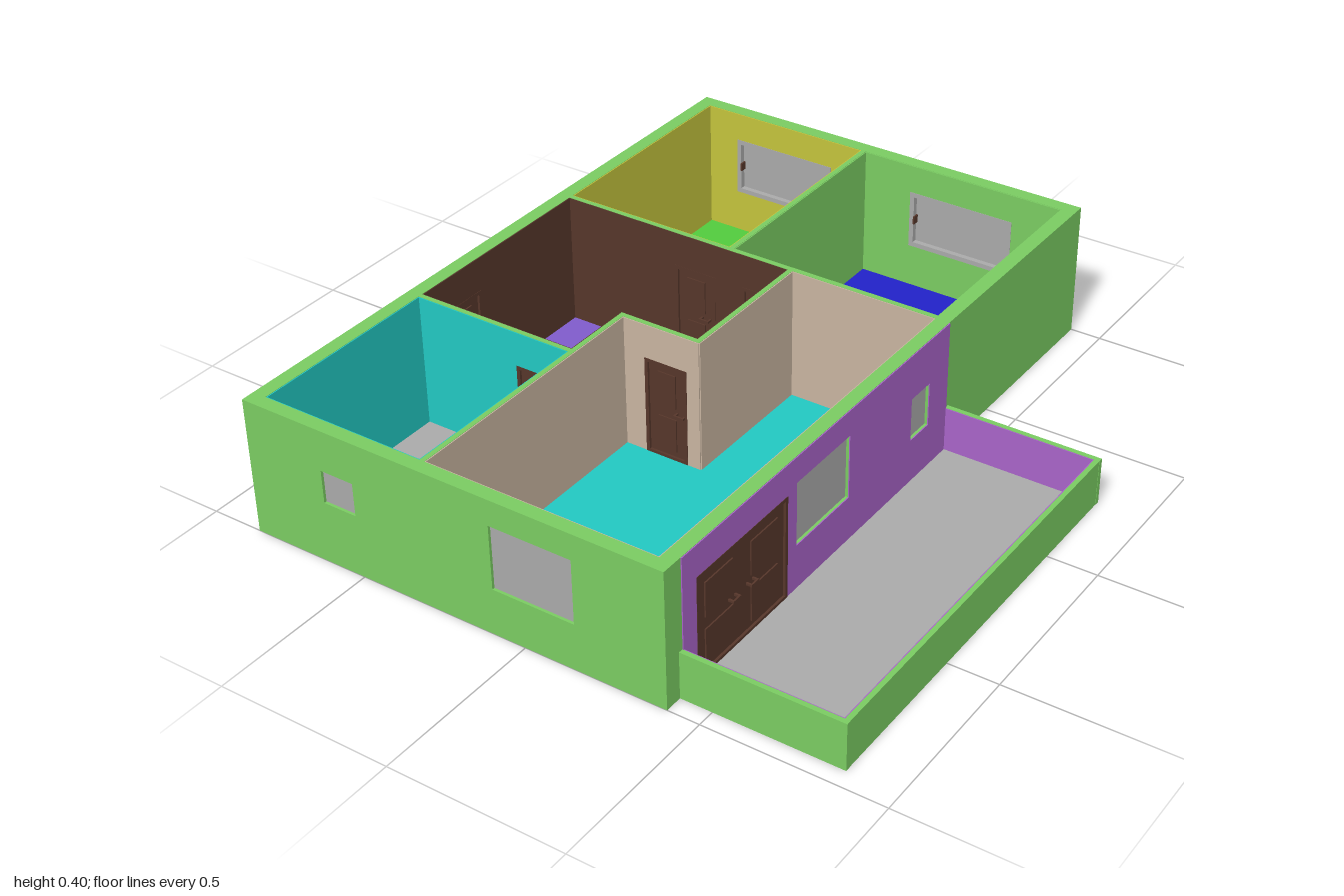
import * as THREE from 'three';

const mat = (name, color) => Object.assign(new THREE.MeshStandardMaterial({ color }), { name });
const M = {
  green: mat('wall green', 0x7acc62),
  lawn: mat('floor green', 0x52cc3e),
  blue: mat('floor blue', 0x2222c8),
  violet: mat('floor violet', 0x805ccc),
  purple: mat('terrace purple', 0xa864c8),
  turquoise: mat('turquoise', 0x22c8c2),
  grey: mat('grey', 0xaaaaaa),
  olive: mat('olive', 0xc4c43c),
  beige: mat('beige', 0xc8b4a0),
  brown: mat('door brown', 0x56362a),
};

const H = 0.395, RAIL = 0.135, OUT = 0.04, IN = 0.014;

// Walls: name, axis they run along, position across it, thickness, start, end, height
const WALLS = [
  ['frontWall', 'x', 0.98, OUT, -0.85, 0.41, H],
  ['backWall', 'x', -0.98, OUT, -0.85, 0.41, H],
  ['outerWallRight', 'z', -0.83, OUT, -0.96, 0.96, H],
  ['outerWallLeft', 'z', 0.39, OUT, -0.96, 0.96, H],
  ['crossWall', 'x', -0.272, IN, -0.81, 0.37, H],
  ['bedroomWall', 'z', -0.272, IN, -0.96, -0.279, H],
  ['hallSideWall', 'z', -0.076, IN, -0.265, 0.17, H],
  ['hallFrontWall', 'x', 0.163, IN, -0.321, -0.083, H],
  ['bathSideWall', 'z', -0.314, IN, 0.17, 0.96, H],
  ['bathBackWall', 'x', 0.377, IN, -0.81, -0.321, H],
  ['terraceRailBack', 'x', -0.272, IN, 0.41, 0.86, RAIL],
  ['terraceRailSide', 'z', 0.852, IN, -0.265, 0.935, RAIL],
  ['terraceRailFront', 'x', 0.942, IN, 0.41, 0.86, RAIL],
];

// Openings: in = direction of the room side, leaves = handle position of each door leaf
const win = (axis, pos, a, b, y0, y1, inward) => ({ name: 'window', axis, pos, t: OUT, a, b, y0, y1, inward });
const door = (axis, pos, t, a, b, leaves, y1 = 0.295) => ({ name: 'door', axis, pos, t, a, b, y0: 0.004, y1, leaves });
const OPENINGS = [
  win('x', 0.98, -0.61, -0.51, 0.18, 0.275, -1),
  win('x', 0.98, -0.09, 0.15, 0.135, 0.32, -1),
  win('x', -0.98, -0.71, -0.38, 0.135, 0.31, 1),
  win('x', -0.98, -0.11, 0.22, 0.135, 0.31, 1),
  win('z', 0.39, 0.22, 0.46, 0.135, 0.32, 1),
  win('z', 0.39, -0.17, -0.08, 0.135, 0.262, 1),
  door('z', -0.83, OUT, 0.14, 0.285, [0.25]),
  door('z', 0.39, OUT, 0.5, 0.88, [0.655, 0.73], 0.305),
  door('x', -0.272, IN, -0.45, -0.315, [-0.35]),
  door('x', -0.272, IN, -0.23, -0.095, [-0.195]),
  door('x', 0.163, IN, -0.24, -0.108, [-0.13]),
  door('x', 0.377, IN, -0.49, -0.365, [-0.39]),
];

const rect = (x0, z0, x1, z1) => [[x0, z0], [x1, z0], [x1, z1], [x0, z1]];
// Rooms: outline seen from above, floor colour, wall colour
const ROOMS = [
  ['bedroom', rect(-0.81, -0.96, -0.279, -0.279), M.lawn, M.olive],
  ['largeBedroom', rect(-0.265, -0.96, 0.37, -0.279), M.blue, M.green],
  ['hall', [[-0.81, -0.265], [-0.083, -0.265], [-0.083, 0.156], [-0.321, 0.156], [-0.321, 0.37], [-0.81, 0.37]], M.violet, M.brown],
  ['livingRoom', [[-0.069, -0.265], [0.37, -0.265], [0.37, 0.96], [-0.307, 0.96], [-0.307, 0.17], [-0.069, 0.17]], M.turquoise, M.beige],
  ['bathroom', rect(-0.81, 0.384, -0.321, 0.96), M.grey, M.turquoise],
  ['terrace', rect(0.41, -0.265, 0.845, 0.935), M.grey, M.purple],
];

// Puts a part drawn in (along, up, across) onto a wall line
function onLine(obj, axis, pos) {
  if (axis === 'x') obj.position.z = pos;
  else { obj.position.x = pos; obj.rotation.y = -Math.PI / 2; }
  return obj;
}

// Upright slab with every window and door on its line cut out
function slab(name, axis, pos, t, a, b, h, material) {
  const s = new THREE.Shape([[a, 0], [b, 0], [b, h], [a, h]].map(p => new THREE.Vector2(...p)));
  for (const o of OPENINGS) {
    if (o.axis !== axis || Math.abs(o.pos - pos) > 0.05 || o.a < a || o.b > b || o.y1 > h) continue;
    s.holes.push(new THREE.Path([[o.a, o.y0], [o.a, o.y1], [o.b, o.y1], [o.b, o.y0]].map(p => new THREE.Vector2(...p))));
  }
  const g = new THREE.ExtrudeGeometry(s, { depth: t, bevelEnabled: false }).translate(0, 0, -t / 2);
  const mesh = new THREE.Mesh(g, material);
  mesh.name = name;
  return onLine(mesh, axis, pos);
}

function box(group, name, material, a, b, y0, y1, d0, d1) {
  const m = new THREE.Mesh(new THREE.BoxGeometry(b - a, y1 - y0, Math.abs(d1 - d0)), material);
  m.position.set((a + b) / 2, (y0 + y1) / 2, (d0 + d1) / 2);
  m.name = name;
  group.add(m);
}

// Four-sided frame of bars of width w inside a rectangle
function frame(group, name, material, a, b, y0, y1, w, d0, d1) {
  box(group, name, material, a, a + w, y0, y1, d0, d1);
  box(group, name, material, b - w, b, y0, y1, d0, d1);
  box(group, name, material, a + w, b - w, y1 - w, y1, d0, d1);
  box(group, name, material, a + w, b - w, y0, y0 + w, d0, d1);
}

function makeWindow(o) {
  const g = new THREE.Group(), i = o.inward, half = o.t / 2;
  box(g, 'windowPane', M.grey, o.a, o.b, o.y0, o.y1, -i * (half - 0.008), i * (half - 0.012));
  frame(g, 'windowFrame', M.grey, o.a, o.b, o.y0, o.y1, 0.014, i * (half - 0.012), i * (half + 0.004));
  const y = (o.y0 + o.y1) / 2;
  box(g, 'windowLatch', M.brown, o.a + 0.014, o.a + 0.019, y - 0.012, y + 0.012, i * (half - 0.012), i * (half + 0.008));
  return g;
}

function makeDoor(o) {
  const g = new THREE.Group(), half = o.t / 2, n = o.leaves.length, w = (o.b - o.a) / n;
  frame(g, 'doorFrame', M.brown, o.a, o.b, o.y0, o.y1, 0.01, -half - 0.004, half + 0.004);
  o.leaves.forEach((hx, k) => {
    const a = o.a + k * w + 0.008, b = o.a + (k + 1) * w - 0.008, d = half - 0.003;
    box(g, 'doorLeaf', M.brown, a - 0.008, b + 0.008, o.y0 + 0.004, o.y1 - 0.004, -d, d);
    for (const s of [-1, 1]) {
      // raised panels
      for (const [y0, y1] of [[0.03, 0.13], [0.165, 0.265]])
        box(g, 'doorPanel', M.brown, a + 0.03, b - 0.03, y0, y1, s * d, s * (d + 0.004));
      // lever handle on two posts
      box(g, 'doorHandle', M.brown, hx - 0.016, hx + 0.016, 0.148, 0.154, s * (half + 0.009), s * (half + 0.014));
      for (const e of [-0.013, 0.013])
        box(g, 'handlePost', M.brown, hx + e - 0.003, hx + e + 0.003, 0.148, 0.154, s * d, s * (half + 0.009));
    }
  });
  return g;
}

export function createModel() {
  const model = new THREE.Group();
  model.name = 'house';

  for (const [name, axis, pos, t, a, b, h] of WALLS) model.add(slab(name, axis, pos, t, a, b, h, M.green));

  for (const [name, pts, floorMat, wallMat] of ROOMS) {
    const room = new THREE.Group();
    room.name = name;
    // floor plate
    const shape = new THREE.Shape(pts.map(p => new THREE.Vector2(...p)));
    const geo = new THREE.ExtrudeGeometry(shape, { depth: 0.006, bevelEnabled: false });
    const floor = new THREE.Mesh(geo.rotateX(Math.PI / 2).translate(0, 0.006, 0), floorMat);
    floor.name = name + 'Floor';
    room.add(floor);
    // painted lining along every side, shifted into the room
    pts.forEach((p, k) => {
      const q = pts[(k + 1) % pts.length];
      const alongX = p[1] === q[1], u = alongX ? 0 : 1;
      const dir = Math.sign(q[u] - p[u]);
      const pos = alongX ? p[1] + dir * 0.0015 : p[0] - dir * 0.0015;
      const low = name === 'terrace' && !(p[0] === 0.41 && q[0] === 0.41);
      room.add(slab(name + 'Lining', alongX ? 'x' : 'z', pos, 0.003,
        Math.min(p[u], q[u]), Math.max(p[u], q[u]), (low ? RAIL : H) - 0.001, wallMat));
    });
    model.add(room);
  }

  for (const o of OPENINGS) {
    const g = onLine(o.leaves ? makeDoor(o) : makeWindow(o), o.axis, o.pos);
    g.name = o.name;
    model.add(g);
  }
  return model;
}
